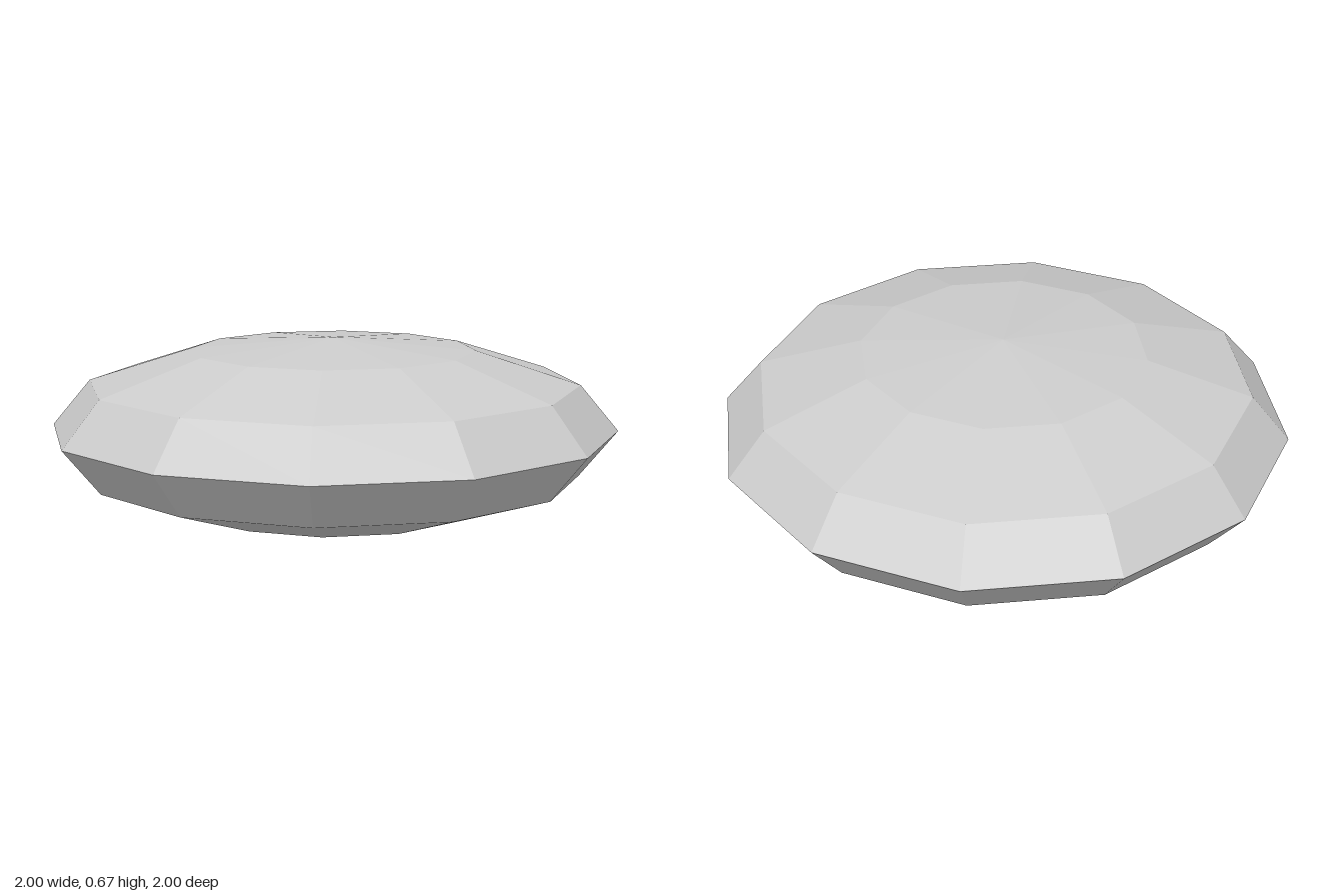
import * as THREE from 'three';

export function createModel() {
  const group = new THREE.Group();
  group.name = 'facetedDisc';

  const lightGrey = new THREE.MeshStandardMaterial({ color: 0xcccccc });
  lightGrey.name = 'lightGrey';

  // Twelve-sided flattened sphere, turned so flat sides face the axes
  const sides = 12;
  const halfHeight = 1 / 3;
  const radius = 1 / Math.cos(Math.PI / sides);
  const ball = new THREE.SphereGeometry(1, sides, 6);
  ball.rotateY(Math.PI / sides);
  ball.scale(radius, halfHeight, radius);
  ball.translate(0, halfHeight, 0);

  // Separate faces for crisp facets
  const facets = ball.toNonIndexed();
  facets.computeVertexNormals();

  const body = new THREE.Mesh(facets, lightGrey);
  body.name = 'flattenedBody';
  group.add(body);
  return group;
}
